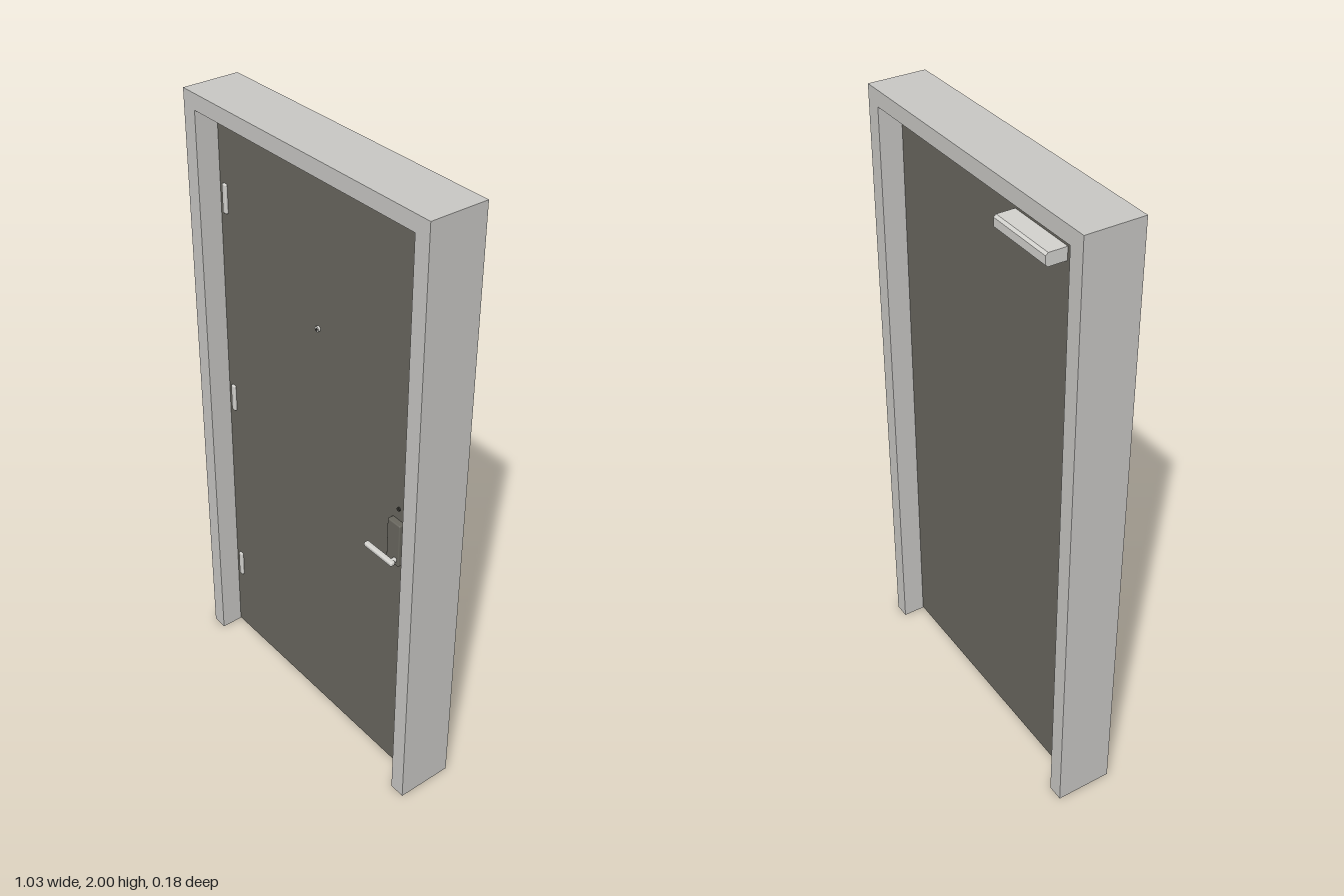
import * as THREE from 'three';
import { RoundedBoxGeometry } from 'three/addons/geometries/RoundedBoxGeometry.js';

export function createModel() {
  const model = new THREE.Group();
  model.name = 'door';
  const material = (name, color) => {
    const m = new THREE.MeshStandardMaterial({ color });
    m.name = name;
    return m;
  };
  const framePaint = material('frame grey', 0xc9c8c5);
  const leafPaint = material('door grey brown', 0x69675f);
  const metal = material('brushed metal', 0xd4d3cf);
  const dark = material('dark keyhole', 0x33322e);

  const add = (name, geometry, mat, x, y, z, parent = model) => {
    const mesh = new THREE.Mesh(geometry, mat);
    mesh.name = name;
    mesh.position.set(x, y, z);
    parent.add(mesh);
    return mesh;
  };
  const box = (w, h, d) => new THREE.BoxGeometry(w, h, d);
  const disc = (r, d, sides = 16) => new THREE.CylinderGeometry(r, r, d, sides).rotateX(Math.PI / 2);

  // Frame: one extruded arch open at the floor
  const W = 0.517, I = 0.465, D = 0.184, face = 0.019;
  const outline = new THREE.Shape([
    [-W, 0], [-I, 0], [-I, 1.95], [I, 1.95], [I, 0], [W, 0], [W, 2], [-W, 2],
  ].map(([x, y]) => new THREE.Vector2(x, y)));
  const frame = new THREE.ExtrudeGeometry(outline, { depth: D, bevelEnabled: false });
  add('frame', frame, framePaint, 0, 0, -D / 2);

  // Door leaf, set in the middle of the frame
  add('doorLeaf', box(0.926, 1.942, face * 2), leafPaint, 0, 0.976, 0);

  // Three hinges on the front
  for (const y of [0.282, 0.977, 1.672]) {
    add('hinge', new RoundedBoxGeometry(0.018, 0.094, 0.012, 2, 0.004), metal, -0.437, y, face + 0.002);
  }

  // Peephole
  add('peephole', disc(0.009, 0.008), metal, 0, 1.44, face + 0.003);
  add('peepholeLens', disc(0.005, 0.002), dark, 0, 1.438, face + 0.0075);

  // Lock plate, lever and keyhole
  const lock = new THREE.Group();
  lock.name = 'lock';
  model.add(lock);
  add('lockPlate', new RoundedBoxGeometry(0.054, 0.15, 0.022, 2, 0.004), leafPaint, 0.368, 0.911, face + 0.009, lock);
  add('leverSpindle', disc(0.008, 0.026), metal, 0.38, 0.857, 0.047, lock);
  add('lever', new RoundedBoxGeometry(0.124, 0.016, 0.018, 3, 0.006), metal, 0.332, 0.857, 0.057, lock);
  add('keyhole', disc(0.006, 0.006), dark, 0.368, 1.025, face + 0.002, lock);

  // Closer on the back: a box with chamfered long edges
  const profile = new THREE.Shape([
    [0, -0.02], [0.058, -0.02], [0.066, -0.013], [0.066, 0.013], [0.058, 0.02], [0, 0.02],
  ].map(([x, y]) => new THREE.Vector2(x, y)));
  const closer = new THREE.ExtrudeGeometry(profile, { depth: 0.235, bevelEnabled: false });
  closer.translate(0, 0, -0.1175).rotateY(Math.PI / 2);
  add('closer', closer, metal, -0.238, 1.855, -face);

  return model;
}
